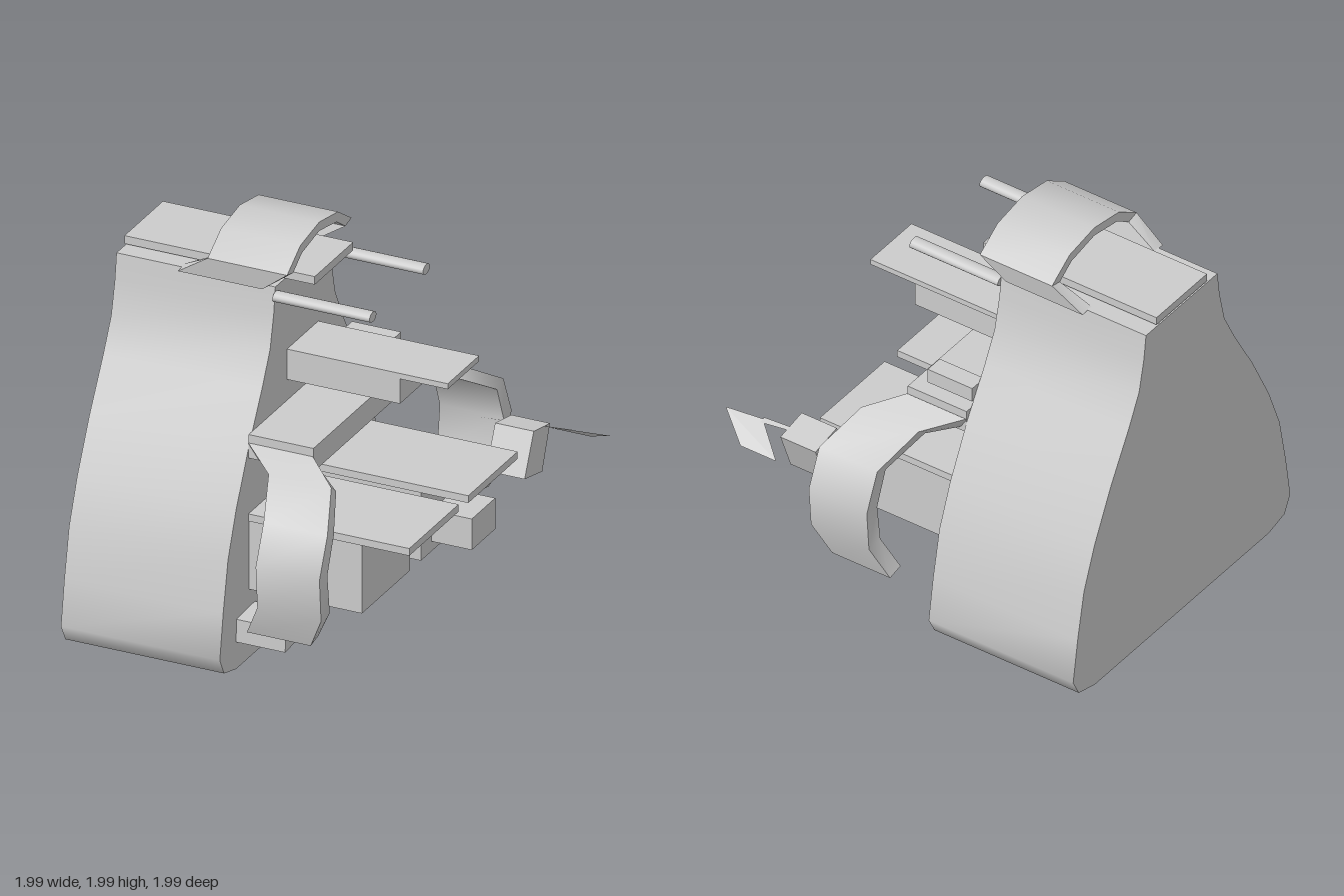
import * as THREE from 'three';
import { toCreasedNormals } from 'three/addons/utils/BufferGeometryUtils.js';

const FACE = -0.19; // x of the body's pocket side
const grey = new THREE.MeshStandardMaterial({ color: 0xcccccc });
const thin = new THREE.MeshStandardMaterial({ color: 0xcccccc, side: THREE.DoubleSide });

// Outline of [z, y] points extruded along x
function slab(points, x0, x1) {
  const shape = new THREE.Shape(points.map(([z, y]) => new THREE.Vector2(z, y)));
  const geo = new THREE.ExtrudeGeometry(shape, { depth: x1 - x0, bevelEnabled: false });
  geo.rotateY(-Math.PI / 2).translate(x1, 0, 0);
  return toCreasedNormals(geo, 0.85);
}

function block(x0, x1, y0, y1, z0, z1) {
  return new THREE.BoxGeometry(x1 - x0, y1 - y0, z1 - z0)
    .translate((x0 + x1) / 2, (y0 + y1) / 2, (z0 + z1) / 2);
}

// Strap through sections [outerZ, outerY, innerZ, innerY, x0, x1]
function strap(sections) {
  const rings = sections.map(([oz, oy, iz, iy, x0, x1]) =>
    [[x0, oy, oz], [x1, oy, oz], [x1, iy, iz], [x0, iy, iz]]);
  const pos = [];
  const tri = (...p) => p.forEach((v) => pos.push(...v));
  for (let i = 0; i < rings.length - 1; i++) {
    const p = rings[i], q = rings[i + 1];
    for (let j = 0; j < 4; j++) {
      const k = (j + 1) % 4;
      tri(p[j], q[j], p[k]);
      tri(p[k], q[j], q[k]);
    }
  }
  const [a, b, c, d] = rings[0];
  tri(a, b, c); tri(a, c, d);
  const [e, f, g, h] = rings[rings.length - 1];
  tri(e, g, f); tri(e, h, g);
  const geo = new THREE.BufferGeometry();
  geo.setAttribute('position', new THREE.Float32BufferAttribute(pos, 3));
  return toCreasedNormals(geo, 0.85);
}

const mirror = (sections) =>
  sections.map(([oz, oy, iz, iy, x0, x1]) => [-oz, oy, -iz, iy, x0, x1]).reverse();

export function createModel() {
  const model = new THREE.Group();
  const add = (name, geo, mat = grey) => {
    const mesh = new THREE.Mesh(geo, mat);
    mesh.name = name;
    model.add(mesh);
  };

  // Apron body
  const half = [[0.69, 0.008], [0.815, 0.04], [0.86, 0.125], [0.825, 0.35], [0.775, 0.6],
    [0.69, 0.82], [0.56, 1.08], [0.42, 1.32], [0.338, 1.48], [0.3, 1.645], [0.283, 1.775]];
  const other = half.map(([z, y]) => [-z, y]).reverse();
  add('apronBody', slab([...half, ...other], -1, FACE));
  add('topHem', block(-1, -0.03, 1.785, 1.826, -0.2, 0.2));

  // Neck strap
  const neck = [
    [0, 2, 0, 1.955, -0.51, -0.105],
    [0.195, 1.967, 0.18, 1.922, -0.51, -0.105],
    [0.335, 1.875, 0.272, 1.86, -0.51, -0.105],
    [0.318, 1.768, 0.25, 1.776, -0.67, -0.24],
  ];
  add('neckStrap', strap([...mirror(neck.slice(1)), ...neck]));

  // Buttons under the neck strap
  for (const s of [1, -1]) {
    const geo = new THREE.CylinderGeometry(1, 1, 0.495, 16).rotateZ(Math.PI / 2);
    geo.scale(1, 0.025, 0.036).translate(FACE + 0.2475, 1.727, s * 0.278);
    add('strapButton', toCreasedNormals(geo, 0.85));
  }

  // Waist band and side ties
  add('waistBand', block(FACE, 0.14, 1.025, 1.145, -0.56, 0.56));
  const tie = [
    [0.565, 1.105, 0.53, 1.05, FACE, 0.14],
    [0.7, 1.04, 0.65, 1, -0.02, 0.3],
    [0.914, 0.908, 0.848, 0.88, 0.06, 0.385],
    [0.997, 0.716, 0.915, 0.706, 0.06, 0.385],
    [0.98, 0.5, 0.89, 0.505, 0.06, 0.385],
    [0.925, 0.335, 0.842, 0.352, -0.02, 0.305],
  ];
  add('leftTie', strap(tie));
  add('rightTie', strap(mirror(tie)));

  // Chest pocket
  add('chestPocket', block(FACE, 0.385, 1.25, 1.38, -0.155, 0.16));
  add('chestPocketFlap', block(FACE, 0.63, 1.378, 1.406, -0.163, 0.163));

  // Lower pockets with flaps
  for (const s of [1, -1]) {
    const span = (a, b) => (s > 0 ? [a, b] : [-b, -a]);
    add('lowerPocket', block(FACE, 0.385, 0.355, 0.707, ...span(0.058, 0.555)));
    add('lowerPocketFlap', block(FACE, 0.63, 0.705, 0.742, ...span(0.05, 0.563)));
  }
  add('smallPocket', block(0.38, 0.59, 0.405, 0.563, -0.412, -0.168));

  // Patches
  add('chestTag', block(FACE, 0.06, 1.175, 1.25, -0.515, -0.42));
  add('hemPatch', slab([[0.69, 0.145], [0.505, 0.16], [0.495, 0.268], [0.688, 0.26]], FACE, 0.06));

  // Hanging cloth block and its loose folded corner
  add('hangingCloth',
    slab([[-0.56, 0.61], [-0.743, 0.57], [-0.824, 0.78], [-0.655, 0.813]], 0.47, 0.667));
  const fold = new THREE.BufferGeometry();
  fold.setAttribute('position', new THREE.Float32BufferAttribute([
    0.63, 0.71, -0.91, 0.8, 0.795, -0.775, 0.99, 0.795, -0.8,
    0.63, 0.71, -0.91, 0.99, 0.795, -0.8, 0.83, 0.71, -0.91,
    0.35, 0.79, -0.72, 0.8, 0.797, -0.765, 0.8, 0.787, -0.795,
  ], 3));
  fold.computeVertexNormals();
  add('clothFold', fold, thin);

  return model;
}
